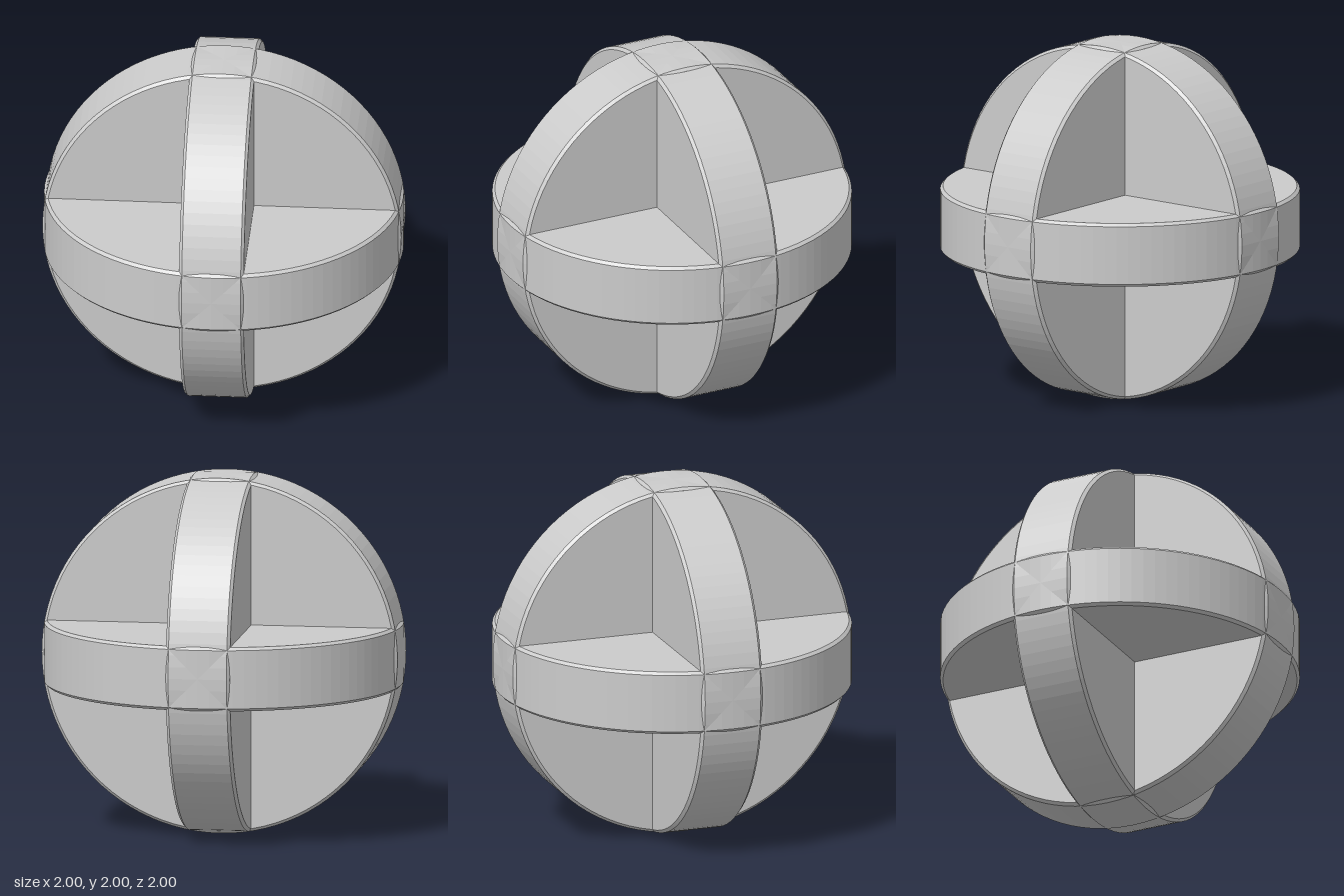
import * as THREE from 'three';

const RADIUS = 1, HALF = 0.18, CHAMFER = 0.016, SEGMENTS = 96;

export function createModel() {
  const model = new THREE.Group();
  model.name = 'interlockedDiscs';
  const material = new THREE.MeshStandardMaterial({ color: 0xcccccc, flatShading: true });

  // Solid disc profile with chamfered rims
  const profile = [
    [0, -HALF],
    [RADIUS - CHAMFER, -HALF],
    [RADIUS, -HALF + CHAMFER],
    [RADIUS, HALF - CHAMFER],
    [RADIUS - CHAMFER, HALF],
    [0, HALF],
  ].map(([x, y]) => new THREE.Vector2(x, y));
  const discGeometry = new THREE.LatheGeometry(profile, SEGMENTS);

  // One disc across each axis, all sharing the same centre
  const discs = [
    ['horizontalDisc', 0, 0],
    ['frontFacingDisc', Math.PI / 2, 0],
    ['sideFacingDisc', 0, Math.PI / 2],
  ];
  for (const [name, rx, rz] of discs) {
    const disc = new THREE.Mesh(discGeometry, material);
    disc.name = name;
    disc.rotation.set(rx, 0, rz);
    disc.position.y = RADIUS;
    model.add(disc);
  }
  return model;
}
